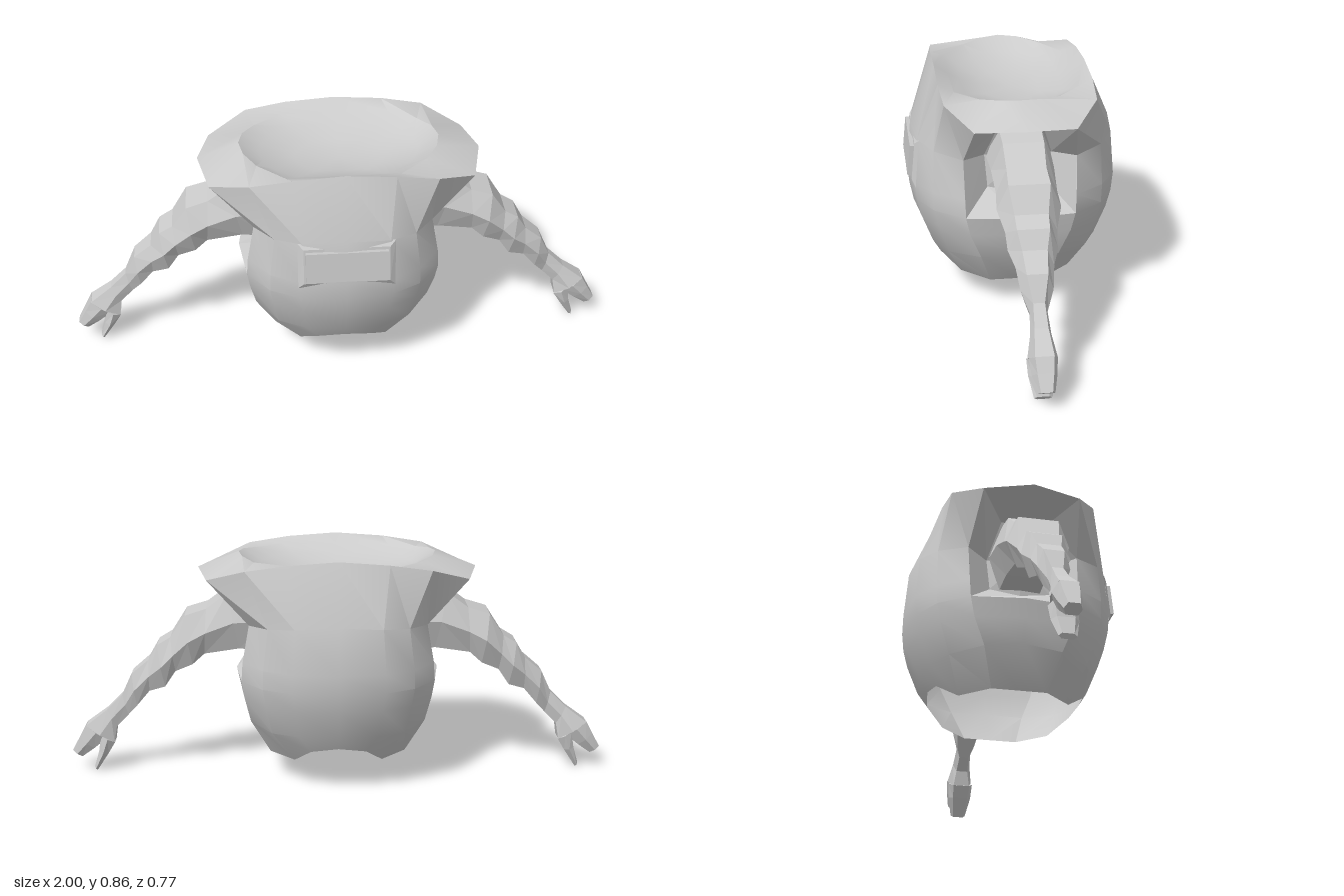
import * as THREE from 'three';
import { toCreasedNormals } from 'three/addons/utils/BufferGeometryUtils.js';

// Skin a list of closed rings of [x, y, z]; skip(i, j) leaves a cell open.
function loft(rings, skip = () => false) {
  const n = rings[0].length, index = [];
  for (let i = 0; i < rings.length - 1; i++) {
    for (let j = 0; j < n; j++) {
      if (skip(i, j)) continue;
      const a = i * n + j, b = i * n + (j + 1) % n, c = b + n, d = a + n;
      index.push(a, d, c, a, c, b);
    }
  }
  const geo = new THREE.BufferGeometry();
  geo.setAttribute('position', new THREE.Float32BufferAttribute(rings.flat(2), 3));
  geo.setIndex(index);
  geo.computeVertexNormals();
  return geo;
}

// A ring shrunk to its centre, used to close a loft.
function collapse(ring) {
  const c = [0, 1, 2].map(k => ring.reduce((s, p) => s + p[k], 0) / ring.length);
  return ring.map(() => c);
}

// Five points from the side (+x) to the front centre, mirrored into a full ring of 16.
function quarterRing(q) {
  const half = [...q, ...q.slice(0, 4).reverse().map(([x, y, z]) => [-x, y, z])];
  return [...half, ...half.slice(1, 8).reverse().map(([x, y, z]) => [x, y, -z])];
}

// Six-sided arm section between an upper and lower point with half-depth w.
function armSection([ux, uy, lx, ly, w]) {
  const mx = (ux + lx) / 2, my = (uy + ly) / 2, t = w * 0.65;
  return [[ux, uy, t], [ux, uy, -t], [mx, my, -w], [lx, ly, -t], [lx, ly, t], [mx, my, w]];
}

function limb(sections) {
  const rings = sections.map(armSection);
  return loft([collapse(rings[0]), ...rings, collapse(rings.at(-1))]);
}

// Upright rectangle, leaning with separate top and bottom depths.
function frameRing(x, y0, z0, y1, z1) {
  return [[x, y1, z1], [x, y0, z0], [-x, y0, z0], [-x, y1, z1]];
}

export function createModel() {
  const model = new THREE.Group();
  const smooth = new THREE.MeshStandardMaterial({ color: 0xcccccc, side: THREE.DoubleSide });
  const flat = new THREE.MeshStandardMaterial({ color: 0xcccccc, side: THREE.DoubleSide, flatShading: true });
  const add = (parent, name, geo, mat) => {
    const mesh = new THREE.Mesh(geo, mat);
    mesh.name = name;
    parent.add(mesh);
    return mesh;
  };

  // Torso shell, from the scalloped hem up to the flared rim
  const rim = quarterRing([[0.51, 0.783, 0], [0.47, 0.77, 0.175], [0.33, 0.82, 0.265], [0.18, 0.842, 0.275], [0, 0.855, 0.275]]);
  const shellRings = [
    quarterRing([[0.25, 0.1, 0], [0.25, 0.1, 0.1], [0.16, 0.1, 0.2], [0.1, 0.155, 0.27], [0, 0.17, 0.285]]),
    quarterRing([[0.34, 0.24, 0], [0.32, 0.23, 0.14], [0.24, 0.22, 0.25], [0.14, 0.22, 0.3], [0, 0.22, 0.315]]),
    quarterRing([[0.36, 0.33, 0], [0.34, 0.33, 0.18], [0.26, 0.33, 0.285], [0.155, 0.33, 0.34], [0, 0.33, 0.361]]),
    quarterRing([[0.375, 0.4, 0], [0.35, 0.4, 0.195], [0.27, 0.4, 0.3], [0.165, 0.4, 0.355], [0, 0.4, 0.375]]),
    quarterRing([[0.37, 0.47, 0], [0.345, 0.47, 0.198], [0.268, 0.47, 0.303], [0.165, 0.47, 0.362], [0, 0.47, 0.382]]),
    quarterRing([[0.34, 0.61, 0], [0.32, 0.61, 0.2], [0.25, 0.62, 0.298], [0.155, 0.63, 0.35], [0, 0.64, 0.366]]),
    rim,
  ];
  const armhole = (i, j) => i >= 3 && [0, 7, 8, 15].includes(j);
  add(model, 'torsoShell', toCreasedNormals(loft(shellRings, armhole), 0.45), smooth);

  // Collar: faceted rim running into a shallow bowl
  const inner = quarterRing([[0.36, 0.84, 0], [0.345, 0.836, 0.07], [0.3, 0.827, 0.14], [0.2, 0.82, 0.22], [0, 0.82, 0.225]]);
  const bowl = (s, y) => inner.map(p => [p[0] * s, y, p[2] * s]);
  const collar = [rim, inner, bowl(0.8, 0.795), bowl(0.45, 0.768), bowl(0, 0.76)];
  add(model, 'collar', toCreasedNormals(loft(collar), 0.45), smooth);

  // Front panel in a bevelled frame, tilted to follow the chest
  const frame = [frameRing(0.172, 0.45, 0.36, 0.63, 0.346), frameRing(0.152, 0.475, 0.373, 0.612, 0.36)];
  add(model, 'panelFrame', loft([...frame, collapse(frame[1])]), flat);
  const panel = add(model, 'frontPanel', new THREE.BoxGeometry(0.29, 0.115, 0.05), flat);
  panel.position.set(0, 0.543, 0.357);
  panel.rotation.x = -0.1;

  // Arms with their sockets, mirrored to both sides
  const socketOuter = [[0.51, 0.783, 0], [0.47, 0.77, -0.175], [0.32, 0.61, -0.2], [0.35, 0.4, -0.195],
    [0.375, 0.4, 0], [0.35, 0.4, 0.195], [0.32, 0.61, 0.2], [0.47, 0.77, 0.175]];
  const socketInner = [[0.32, 0.725, 0], [0.32, 0.725, -0.08], [0.25, 0.6, -0.12], [0.26, 0.48, -0.11],
    [0.27, 0.46, 0], [0.26, 0.48, 0.11], [0.25, 0.6, 0.12], [0.32, 0.725, 0.08]];
  for (const [side, name] of [[1, 'left'], [-1, 'right']]) {
    const arm = new THREE.Group();
    arm.name = name + 'Arm';
    arm.scale.x = side;
    model.add(arm);
    add(arm, 'armSocket', loft([socketOuter, socketInner, collapse(socketInner)]), flat);
    // Each section: upper x, y, lower x, y, half-depth
    add(arm, 'arm', limb([
      [0.28, 0.72, 0.26, 0.48, 0.115], [0.4, 0.7, 0.36, 0.49, 0.11], [0.48, 0.64, 0.49, 0.47, 0.105],
      [0.56, 0.615, 0.535, 0.43, 0.11], [0.615, 0.53, 0.6, 0.4, 0.088], [0.665, 0.5, 0.64, 0.34, 0.085],
      [0.7, 0.44, 0.7, 0.32, 0.065], [0.765, 0.385, 0.75, 0.26, 0.055], [0.805, 0.3, 0.785, 0.22, 0.03],
      [0.865, 0.24, 0.83, 0.175, 0.035], [0.945, 0.18, 0.84, 0.115, 0.05],
    ]), flat);
    add(arm, 'finger', limb([[0.945, 0.182, 0.87, 0.13, 0.048], [0.97, 0.135, 0.918, 0.09, 0.042], [1, 0.08, 0.965, 0.055, 0.03]]), flat);
    add(arm, 'thumb', limb([[0.89, 0.145, 0.838, 0.115, 0.05], [0.9, 0.08, 0.865, 0.07, 0.046], [0.92, 0.015, 0.91, 0, 0.03]]), flat);
  }
  return model;
}
